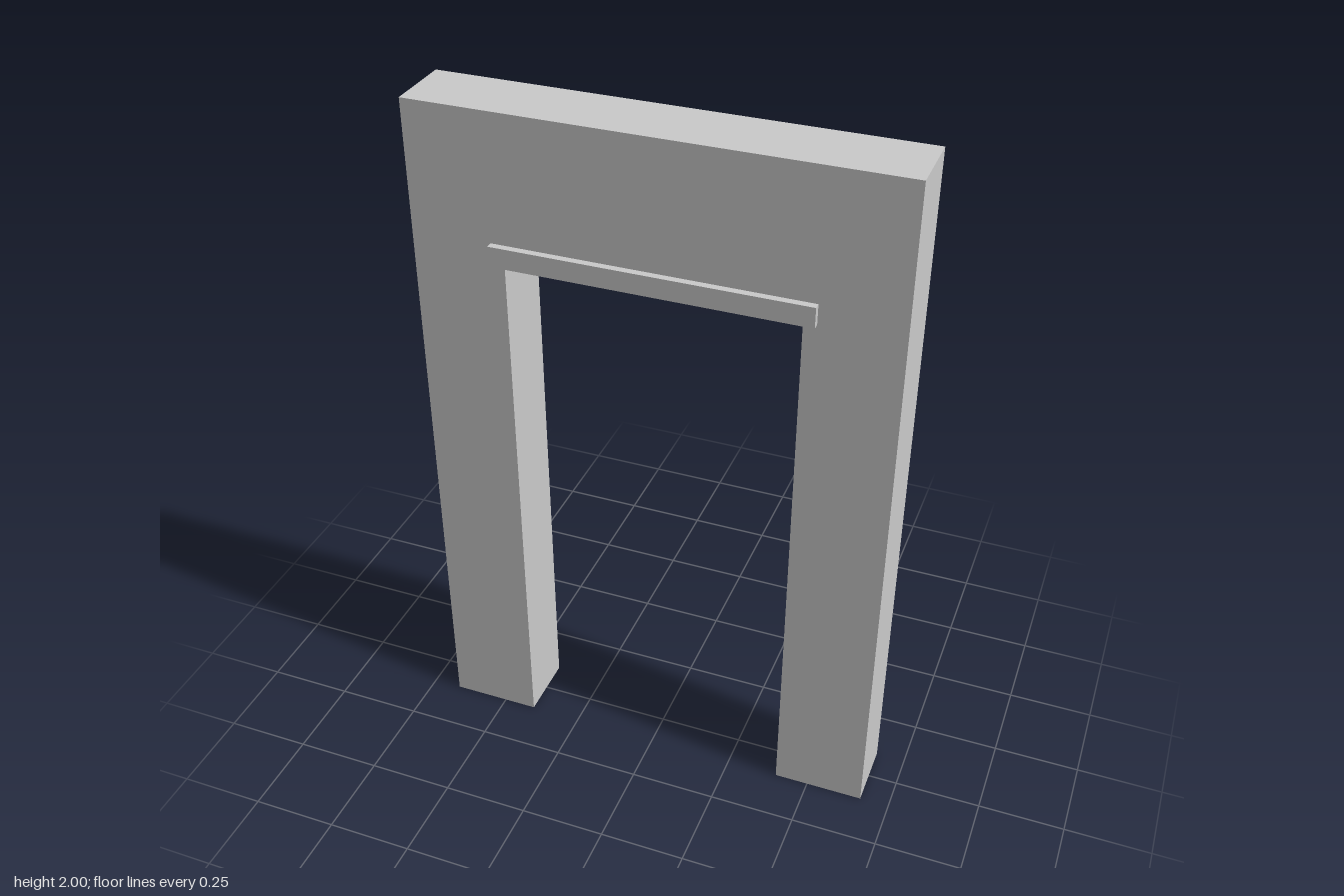
import * as THREE from 'three';

export function createModel() {
  const model = new THREE.Group();
  model.name = 'gateway';
  const material = new THREE.MeshStandardMaterial({ color: 0xcccccc, flatShading: true });

  // Box given by its centre x, bottom y and size, centred on z = 0
  function block(name, x, bottom, width, height, depth) {
    const mesh = new THREE.Mesh(new THREE.BoxGeometry(width, height, depth), material);
    mesh.name = name;
    mesh.position.set(x, bottom + height / 2, 0);
    model.add(mesh);
  }

  const inner = 0.402, outer = 0.665, depth = 0.196;
  const trimBottom = 1.58, trimTop = 1.638;

  // Two full-height pillars
  for (const [name, side] of [['leftPillar', 1], ['rightPillar', -1]]) {
    block(name, side * (inner + outer) / 2, 0, outer - inner, 2, depth);
  }

  // Lintel panel between the pillars
  block('lintel', 0, trimTop, inner * 2, 2 - trimTop, depth);

  // Projecting trim bar under the lintel, overlapping both pillars
  block('lintelTrim', 0, trimBottom, 0.876, trimTop - trimBottom, 0.236);

  return model;
}
